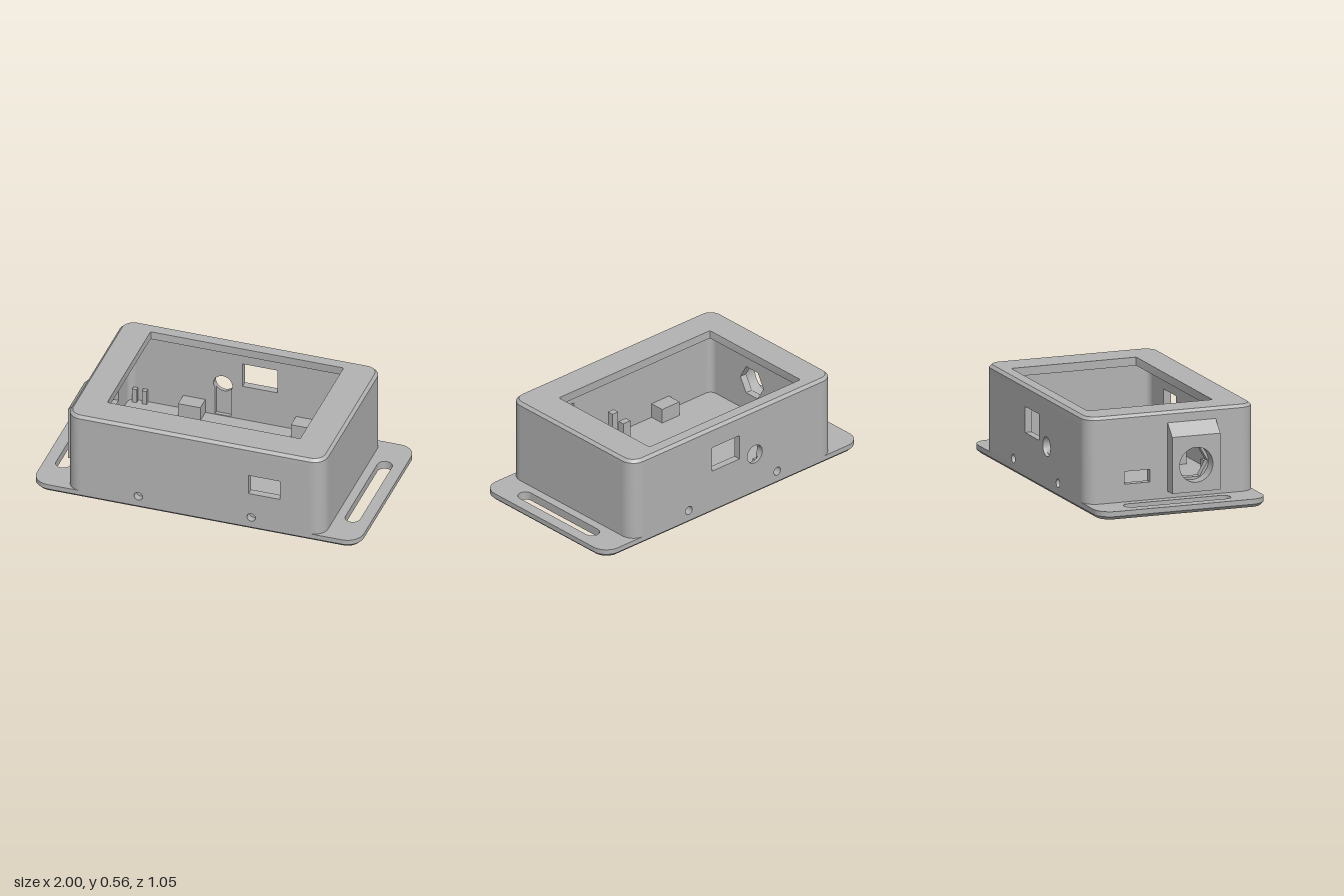
import * as THREE from 'three';
import { mergeGeometries, toCreasedNormals } from 'three/addons/utils/BufferGeometryUtils.js';

const HW = 0.7875, HD = 0.527, R = 0.085, T = 0.045; // body half sizes, corner radius, wall
const FLOOR = 0.05, LID = 0.515, CHAMFER = 0.548, TOP = 0.565;
const PEG_Y = 0.087;

// Counter-clockwise rounded rectangle as points
function ring(hw, hd, r, cx = 0, cy = 0, n = 10) {
  const pts = [];
  [[1, 1], [-1, 1], [-1, -1], [1, -1]].forEach(([sx, sy], k) => {
    for (let i = 0; i <= n; i++) {
      const a = (k + i / n) * Math.PI / 2;
      pts.push(new THREE.Vector2(cx + sx * (hw - r) + r * Math.cos(a), cy + sy * (hd - r) + r * Math.sin(a)));
    }
  });
  return pts;
}

// Side faces joining two matching rings at heights za and zb
function band(lower, upper, za, zb) {
  const pos = [];
  lower.forEach((a, i) => {
    const j = (i + 1) % lower.length, b = lower[j], c = upper[j], d = upper[i];
    pos.push(a.x, a.y, za, b.x, b.y, za, c.x, c.y, zb, a.x, a.y, za, c.x, c.y, zb, d.x, d.y, zb);
  });
  return new THREE.BufferGeometry().setAttribute('position', new THREE.Float32BufferAttribute(pos, 3));
}

// Flat cap with holes
function cap(outline, holes, z, down) {
  const shape = new THREE.Shape(outline);
  holes.forEach(h => shape.holes.push(new THREE.Path(h)));
  const g = new THREE.ShapeGeometry(shape).toNonIndexed();
  g.deleteAttribute('uv');
  g.deleteAttribute('normal');
  if (down) {
    const p = g.attributes.position, v = new THREE.Vector3(), w = new THREE.Vector3();
    for (let i = 0; i < p.count; i += 3) {
      v.fromBufferAttribute(p, i + 1);
      w.fromBufferAttribute(p, i + 2);
      p.setXYZ(i + 1, w.x, w.y, w.z);
      p.setXYZ(i + 2, v.x, v.y, v.z);
    }
  }
  return g.translate(0, 0, z);
}

// Horizontal slab with chamfers: levels are [height, inset]
function slab(hw, hd, r, levels, holes) {
  const rings = levels.map(([, inset]) => ring(hw - inset, hd - inset, r - inset));
  const last = levels.length - 1, z0 = levels[0][0], z1 = levels[last][0];
  const parts = [cap(rings[0], holes, z0, true), cap(rings[last], holes, z1, false)];
  for (let i = 0; i < last; i++) parts.push(band(rings[i], rings[i + 1], levels[i][0], levels[i + 1][0]));
  for (const h of holes) {
    const back = [...h].reverse();
    parts.push(band(back, back, z0, z1));
  }
  return toCreasedNormals(mergeGeometries(parts).rotateX(-Math.PI / 2), 0.5);
}

const rect = (x0, x1, y0, y1) => [[x0, y0], [x1, y0], [x1, y1], [x0, y1]].map(p => new THREE.Vector2(...p));
const circle = (x, y, r, n = 32) => Array.from({ length: n }, (_, i) => {
  const a = i / n * Math.PI * 2;
  return new THREE.Vector2(x + r * Math.cos(a), y + r * Math.sin(a));
});

function extrude(outline, holes, depth) {
  const shape = new THREE.Shape(outline);
  holes.forEach(h => shape.holes.push(new THREE.Path(h)));
  return toCreasedNormals(new THREE.ExtrudeGeometry(shape, { depth, bevelEnabled: false, curveSegments: 10 }), 0.5);
}

export function createModel() {
  const model = new THREE.Group();
  model.name = 'electronicsEnclosure';
  const grey = new THREE.MeshStandardMaterial({ color: 0xb2b2b2 });
  grey.name = 'plain grey';

  function add(name, geometry, x = 0, y = 0, z = 0, turn = 0) {
    const mesh = new THREE.Mesh(geometry, grey);
    mesh.name = name;
    mesh.position.set(x, y, z);
    mesh.rotation.y = turn;
    model.add(mesh);
    return mesh;
  }
  const box = (name, x0, x1, y0, y1, z0, z1) => add(name,
    new THREE.BoxGeometry(x1 - x0, y1 - y0, z1 - z0), (x0 + x1) / 2, (y0 + y1) / 2, (z0 + z1) / 2);

  // Base plate with strap slots in both ears
  const slots = [-1, 1].map(s => ring(0.045, 0.332, 0.045, s * 0.885, 0));
  add('basePlate', slab(1, HD, 0.1, [[0, 0.02], [0.02, 0], [FLOOR, 0]], slots));

  // Lid frame with display opening
  const opening = ring(0.59, 0.39, 0.008, -0.01, 0.055, 2);
  add('lidFrame', slab(HW, HD, R, [[LID, 0], [CHAMFER, 0], [TOP, 0.017]], [opening]));

  // Straight walls
  const lenX = HW - R, lenZ = HD - R;
  const screwHoles = [-0.345, 0.345].map(x => circle(x, PEG_Y, 0.026, 24));
  const wall = (name, half, holes, x, z, turn, t = T) =>
    add(name, extrude(rect(-half, half, FLOOR, LID), holes, t), x, 0, z, turn);

  wall('frontWall', lenX, [rect(0.33, 0.52, 0.25, 0.375), ...screwHoles], 0, HD - T, 0);
  wall('rightWall', lenZ, [], HW - T, 0, Math.PI / 2);
  wall('socketWall', lenZ, [rect(-0.29, -0.13, 0.155, 0.23), circle(0.13, 0.25, 0.1, 6)], -(HW - T), 0, -Math.PI / 2);

  // Back wall: outer skin with round hole, inner skin with a slot running down from it
  const port = rect(-0.165, 0.05, 0.28, 0.435);
  const keyhole = [new THREE.Vector2(0.122, 0.055), new THREE.Vector2(0.218, 0.055)];
  for (let i = 0; i <= 16; i++) {
    const a = -0.6 + i / 16 * (Math.PI + 1.2);
    keyhole.push(new THREE.Vector2(0.17 + 0.058 * Math.cos(a), 0.267 + 0.058 * Math.sin(a)));
  }
  wall('backWallOuter', lenX, [port, circle(0.17, 0.267, 0.058), ...screwHoles], 0, -(HD - T / 2), Math.PI, T / 2);
  wall('backWallInner', lenX, [port, keyhole, ...screwHoles], 0, -(HD - T), Math.PI, T / 2);

  // Rounded wall corners
  const arc = r => Array.from({ length: 11 }, (_, i) =>
    new THREE.Vector2(r * Math.cos(i * Math.PI / 20), r * Math.sin(i * Math.PI / 20)));
  const corner = extrude([...arc(R), ...arc(R - T).reverse()], [], LID - FLOOR).rotateX(-Math.PI / 2);
  [[1, -1], [-1, -1], [-1, 1], [1, 1]].forEach(([sx, sz], k) =>
    add('wallCorner', corner, sx * lenX, FLOOR, sz * lenZ, k * Math.PI / 2));

  // Screw bosses behind the small holes
  for (const sx of [-1, 1]) for (const sz of [-1, 1]) {
    const x = sx * 0.345, z = sz * 0.437;
    box('screwBoss', x - 0.068, x + 0.068, FLOOR, 0.14, z - 0.047, z + 0.047);
  }

  // Socket housing on the side, with sloped top
  add('socketHousing', extrude(rect(-0.02, 0.28, 0.09, 0.425), [circle(0.13, 0.25, 0.104)], 0.075),
    -(HW - 0.003), 0, 0, -Math.PI / 2);
  const slope = [[-0.8595, 0.425], [-0.7845, 0.425], [-0.7845, 0.5]].map(p => new THREE.Vector2(...p));
  add('socketHousingSlope', extrude(slope, [], 0.3), 0, 0, -0.02);

  // Small posts on the floor, under the lid rim
  box('tallPost', 0.085, 0.13, FLOOR, 0.27, 0.37, 0.41);
  box('shortPost', -0.01, 0.045, FLOOR, 0.175, 0.37, 0.41);
  for (const x of [-0.7, -0.64]) box('cornerPost', x - 0.014, x + 0.014, FLOOR, 0.14, -0.475, -0.45);

  return model;
}
